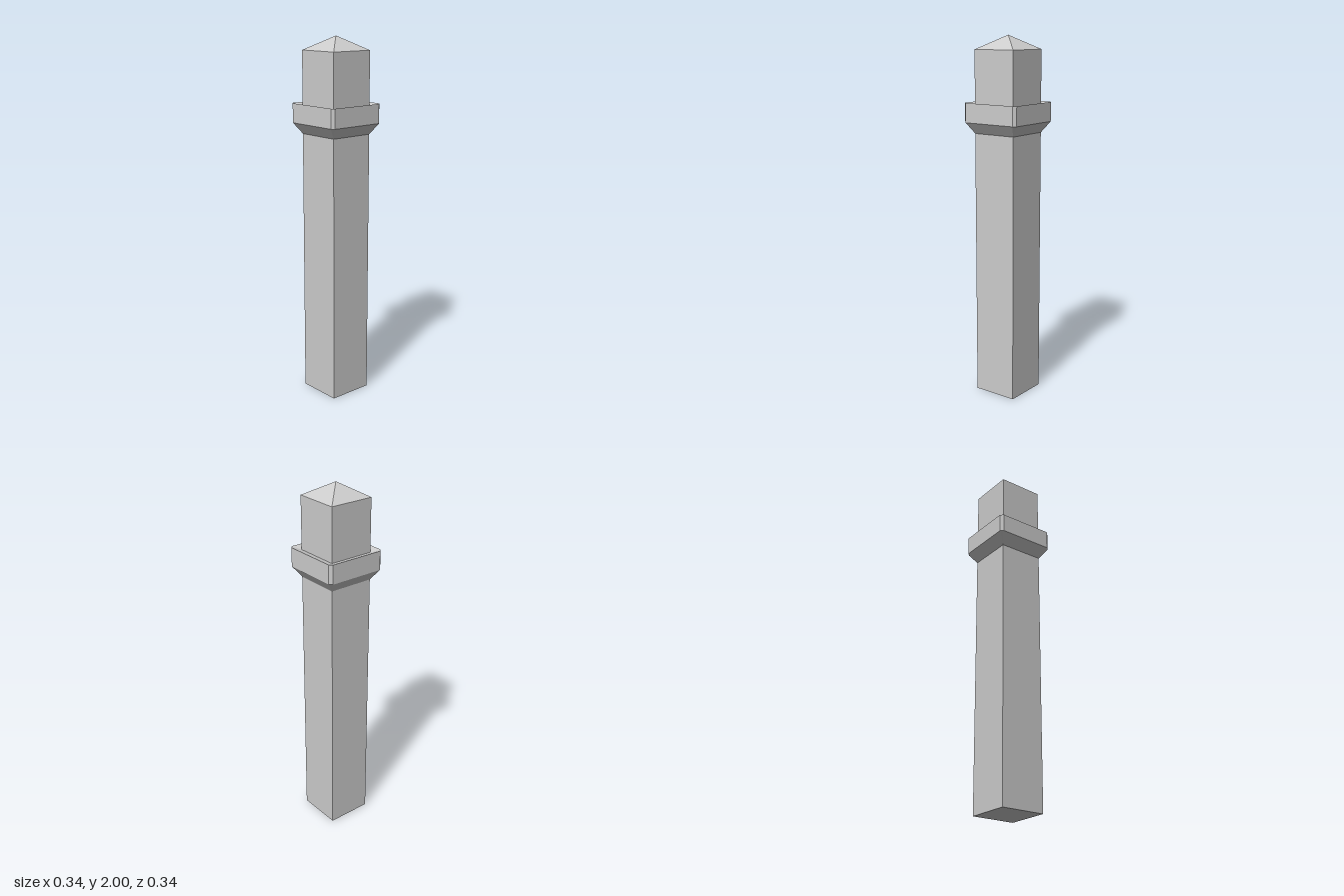
import * as THREE from 'three';

const material = new THREE.MeshStandardMaterial({ color: 0xcccccc, flatShading: true });
const HALF = 0.127; // half width of the square shaft
const SHOULDER = 1.925; // height where the pointed cap begins

// Square ring with chamfered corners, running from +x towards +z
function ring(half, chamfer, y) {
  const points = [];
  for (let i = 0; i < 4; i++) {
    const a = (i * Math.PI) / 2, c = Math.cos(a), s = Math.sin(a);
    for (const [x, z] of [[half, half - chamfer], [half - chamfer, half]]) {
      points.push(new THREE.Vector3(x * c - z * s, y, x * s + z * c));
    }
  }
  return points;
}

// Skin stacked rings with quads, dropping triangles that collapse at a corner
function loft(rings) {
  const positions = [];
  const addTriangle = (a, b, c) => {
    if (new THREE.Triangle(a, b, c).getArea() < 1e-7) return;
    for (const p of [a, b, c]) positions.push(p.x, p.y, p.z);
  };
  for (let r = 0; r < rings.length - 1; r++) {
    const low = rings[r], high = rings[r + 1];
    for (let i = 0; i < low.length; i++) {
      const j = (i + 1) % low.length;
      addTriangle(low[i], high[i], low[j]);
      addTriangle(high[i], high[j], low[j]);
    }
  }
  const geometry = new THREE.BufferGeometry();
  geometry.setAttribute('position', new THREE.Float32BufferAttribute(positions, 3));
  geometry.computeVertexNormals();
  return geometry;
}

export function createModel() {
  const post = new THREE.Group();
  post.name = 'post';
  const add = (name, geometry) => {
    const mesh = new THREE.Mesh(geometry, material);
    mesh.name = name;
    post.add(mesh);
  };

  // Square shaft
  add('shaft', new THREE.BoxGeometry(HALF * 2, SHOULDER, HALF * 2).translate(0, SHOULDER / 2, 0));

  // Four-sided pointed cap
  const capHeight = 2 - SHOULDER;
  add('cap', new THREE.ConeGeometry(HALF * Math.SQRT2, capHeight, 4, 1, true)
    .rotateY(Math.PI / 4).translate(0, SHOULDER + capHeight / 2, 0));

  // Collar: flared underside, chamfered band, top dipping slightly to the shaft
  add('collar', loft([
    ring(HALF, 0, 1.48),
    ring(0.172, 0.016, 1.54),
    ring(0.172, 0.016, 1.645),
    ring(HALF, 0, 1.632),
  ]));

  return post;
}
